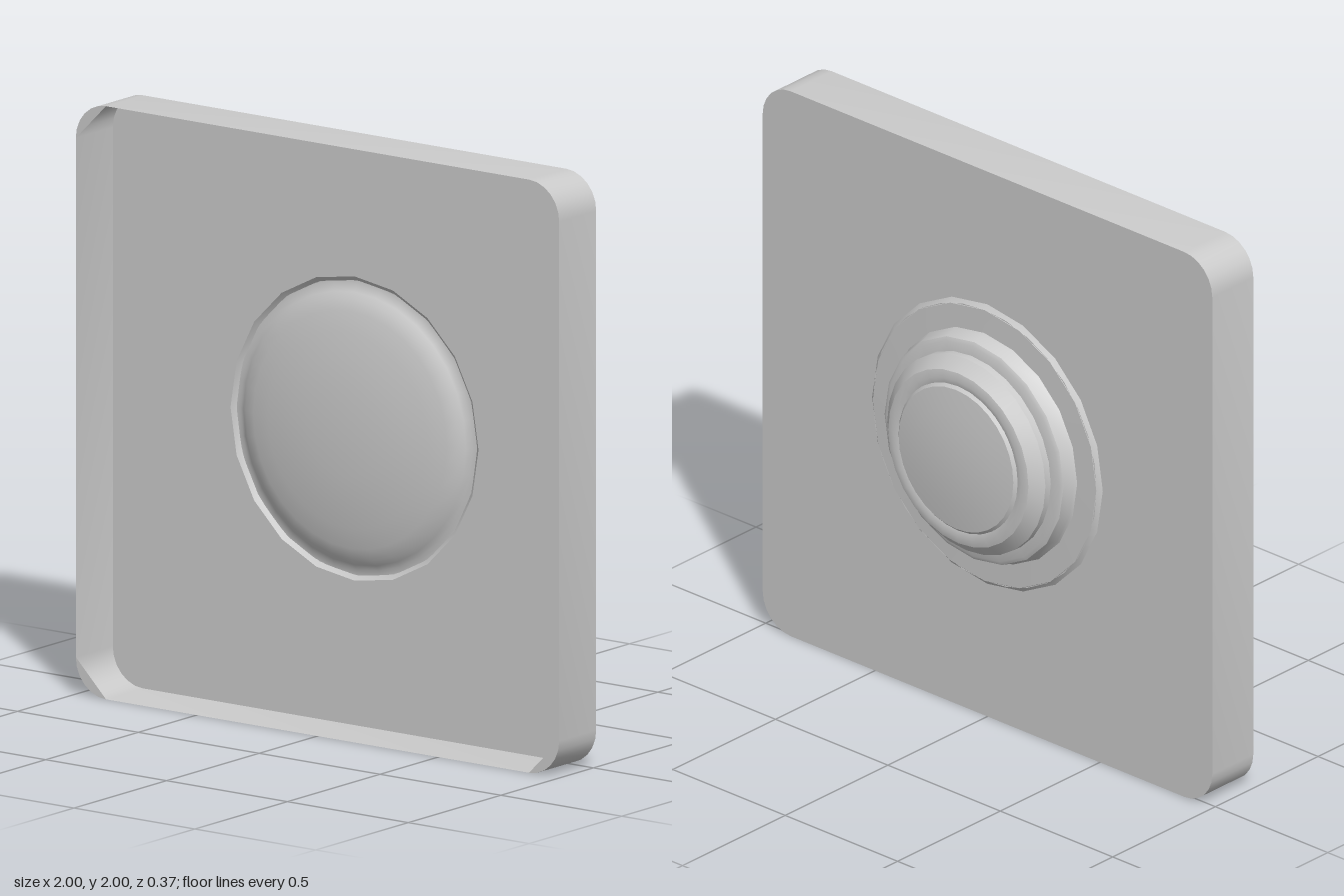
import * as THREE from 'three';
import { toCreasedNormals } from 'three/addons/utils/BufferGeometryUtils.js';

const BACK = -0.015, FRONT = 0.185, R = 0.125;

export function createModel() {
  const model = new THREE.Group();
  model.name = 'trayWithBoss';
  const material = new THREE.MeshStandardMaterial({ color: 0xcccccc, side: THREE.DoubleSide });

  const add = (name, geometry) => {
    const mesh = new THREE.Mesh(geometry, material);
    mesh.name = name;
    model.add(mesh);
    return mesh;
  };

  // Turned part about the z axis; profile is a list of [radius, z]
  const turned = (name, profile, segments) => {
    const points = profile.map(([r, z]) => new THREE.Vector2(r, z));
    const geometry = new THREE.LatheGeometry(points, segments).rotateX(Math.PI / 2).translate(0, 1, 0);
    return add(name, toCreasedNormals(geometry, 0.5));
  };

  // Rounded square outline, counter-clockwise seen from the front
  const outline = [];
  const corners = [[1, 2, 0], [-1, 2, 1], [-1, 0, 2], [1, 0, 3]];
  corners.forEach(([x, y, quarter]) => {
    const cx = x - Math.sign(x) * R, cy = y === 0 ? R : 2 - R;
    const arc = [];
    for (let i = 0; i <= 6; i++) {
      const a = (quarter + i / 6) * Math.PI / 2;
      arc.push(new THREE.Vector2(cx + R * Math.cos(a), cy + R * Math.sin(a)));
    }
    outline.push(...arc);
    // Thin web between each corner's arc and its chord at the rim
    add('cornerWeb', new THREE.ShapeGeometry(new THREE.Shape(arc)).translate(0, 0, FRONT));
  });

  // Back panel with a round opening
  const panel = new THREE.Shape(outline);
  const hole = [];
  for (let i = 0; i < 20; i++) {
    const a = i / 20 * Math.PI * 2;
    hole.push(new THREE.Vector2(0.513 * Math.sin(a), 1 + 0.513 * Math.cos(a)));
  }
  panel.holes.push(new THREE.Path(hole));
  add('backPanel', new THREE.ShapeGeometry(panel).translate(0, 0, BACK));

  // Thin wall running around the outline
  const wall = [];
  outline.forEach((a, i) => {
    const b = outline[(i + 1) % outline.length];
    wall.push(a.x, a.y, BACK, b.x, b.y, BACK, b.x, b.y, FRONT);
    wall.push(a.x, a.y, BACK, b.x, b.y, FRONT, a.x, a.y, FRONT);
  });
  const wallGeometry = new THREE.BufferGeometry();
  wallGeometry.setAttribute('position', new THREE.Float32BufferAttribute(wall, 3));
  add('sideWall', toCreasedNormals(wallGeometry, 0.6));

  // Shallow flange around the opening, stepping to the back
  turned('flange', [[0.513, BACK], [0.497, -0.029], [0.41, -0.031]], 20);

  // Stepped boss on the back
  turned('bossBase', [[0.415, -0.029], [0.408, -0.04], [0.398, -0.08], [0.385, -0.087], [0.33, -0.088]], 20);
  turned('bossCollar', [[0.34, -0.08], [0.352, -0.092], [0.352, -0.118], [0.312, -0.157], [0.285, -0.163], [0.265, -0.158]], 28);
  turned('bossCap', [[0.268, -0.155], [0.255, -0.168], [0.18, -0.177], [0.09, -0.183], [0, -0.185]], 32);

  // Domed cover on the front
  turned('frontDome', [[0.497, -0.028], [0.478, -0.026], [0.46, -0.016], [0.44, -0.002],
    [0.4, 0.01], [0.33, 0.023], [0.24, 0.035], [0.15, 0.043], [0, 0.046]], 32);

  return model;
}
